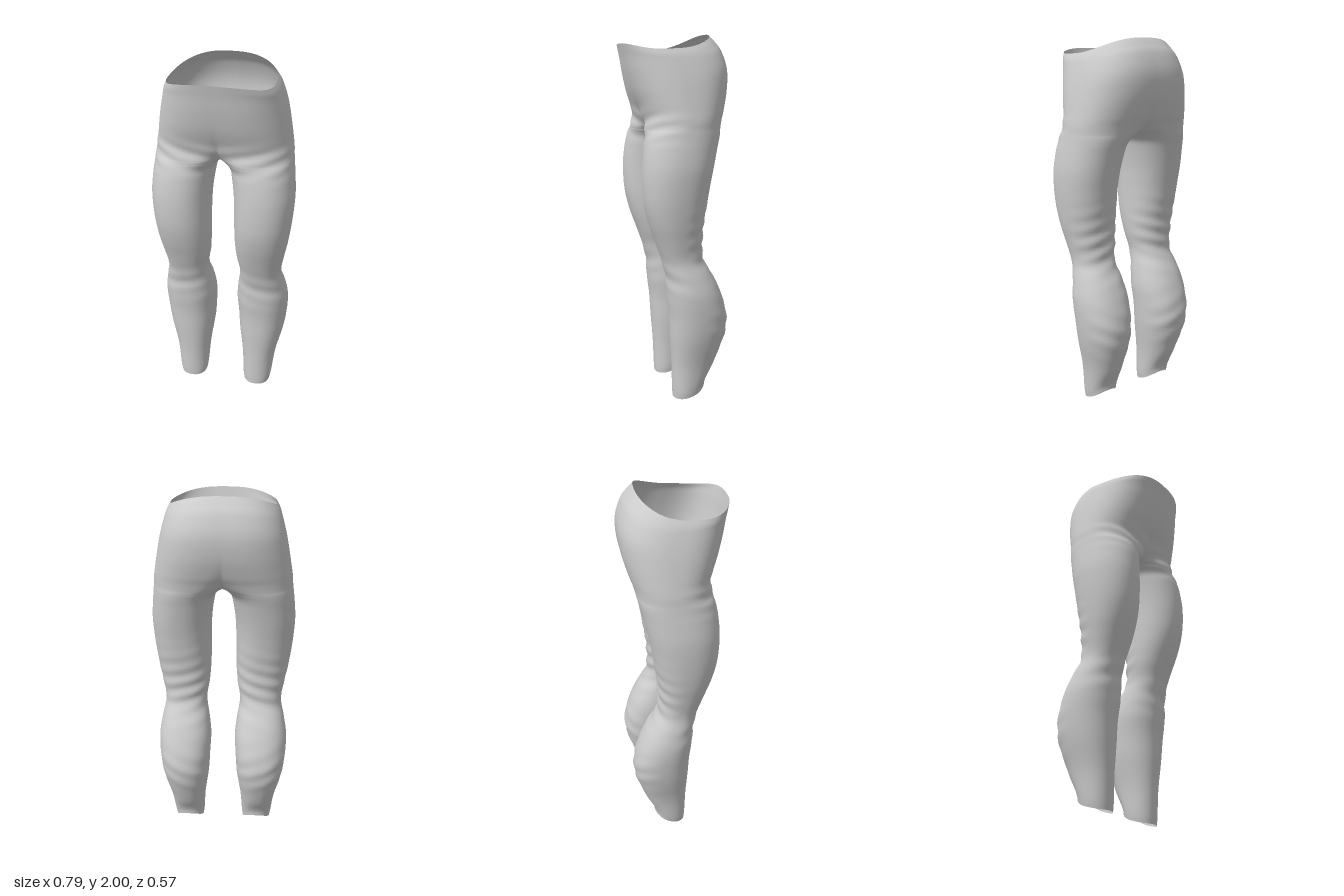
import * as THREE from 'three';
import { mergeVertices } from 'three/addons/utils/BufferGeometryUtils.js';

// Sections of one trouser leg and its half of the hips, from hem to waist:
// height, inner x, outer x, front z, back z (inner x < 0: the halves join at x = 0)
const SECTIONS = [
  [0, 0.12, 0.28, 0.042, -0.135],
  [0.05, 0.114, 0.288, 0.045, -0.143],
  [0.2, 0.105, 0.305, 0.05, -0.19],
  [0.36, 0.083, 0.343, 0.06, -0.245],
  [0.48, 0.075, 0.36, 0.066, -0.252],
  [0.6, 0.069, 0.365, 0.08, -0.22],
  [0.7, 0.08, 0.35, 0.086, -0.175],
  [0.8, 0.095, 0.33, 0.11, -0.118],
  [0.9, 0.08, 0.345, 0.145, -0.11],
  [1.0, 0.072, 0.365, 0.18, -0.115],
  [1.1, 0.07, 0.38, 0.205, -0.13],
  [1.2, 0.069, 0.39, 0.215, -0.145],
  [1.3, 0.064, 0.394, 0.215, -0.165],
  [1.4, 0.05, 0.386, 0.205, -0.187],
  [1.45, 0.036, 0.38, 0.194, -0.2],
  [1.485, 0, 0.376, 0.187, -0.21],
  [1.51, -0.045, 0.373, 0.18, -0.216],
  [1.55, -0.1, 0.37, 0.177, -0.228],
  [1.6, -0.16, 0.362, 0.187, -0.247],
  [1.7, -0.24, 0.345, 0.225, -0.275],
  [1.8, -0.285, 0.326, 0.252, -0.284],
  [1.88, -0.303, 0.308, 0.268, -0.255],
  [1.92, -0.296, 0.296, 0.277, -0.22],
  [1.95, -0.28, 0.28, 0.284, -0.19],
];
const STEPS = 6;
const COLUMNS = 96;

const power = (v, e) => Math.sign(v) * Math.abs(v) ** e;
const bump = (v, centre, width) => Math.exp(-(((v - centre) / width) ** 2));

function halfTrousers(side) {
  const spline = (a, b) => new THREE.CatmullRomCurve3(
    SECTIONS.map((s) => new THREE.Vector3(s[a], s[0], s[b])), false, 'catmullrom', 0.5);
  const widths = spline(1, 2);
  const depths = spline(3, 4);
  const rows = (SECTIONS.length - 1) * STEPS;
  const positions = [];
  const index = [];

  for (let i = 0; i <= rows; i++) {
    const w = widths.getPoint(i / rows);
    const d = depths.getPoint(i / rows);
    const level = w.y;
    const cx = Math.max(0, (w.x + w.z) / 2);
    const rx = w.z - cx;
    const cz = (d.x + d.z) / 2;
    const rz = (d.x - d.z) / 2;
    const n = 2.2 + 0.4 * THREE.MathUtils.smoothstep(level, 1.4, 1.9);
    // above the crotch the ring opens and ends on the centre seam
    const joined = cx < rx - 1e-5;
    const end = joined ? Math.acos(-((cx / rx) ** (n / 2))) : Math.PI;
    const top = THREE.MathUtils.smoothstep(level, 1.7, 1.95);
    const hem = 1 - THREE.MathUtils.smoothstep(level, 0, 0.22);

    for (let j = 0; j <= COLUMNS; j++) {
      const t = (j / COLUMNS) * 2 - 1;
      const c = Math.cos(t * end);
      const s = Math.sin(t * end);
      // soft cloth folds behind the knee, on the shin and below the hip
      const back = Math.max(0, -s);
      const front = Math.max(0, s);
      const fold = 0.005 * back * bump(level, 0.9, 0.16) * Math.sin(level * 75 + c * 3)
        + 0.004 * back * bump(level, 0.42, 0.13) * Math.sin(level * 60 - c * 4)
        + 0.003 * front * bump(level, 0.7, 0.1) * Math.sin(level * 60 + c * 2)
        + 0.004 * front * bump(level, 1.53, 0.07) * Math.sin(level * 80 - c * 5);
      let x = cx + (rx + fold) * power(c, 2 / n);
      if (joined && Math.abs(t) === 1) x = 0;
      const z = cz + (rz + fold) * power(s, 2 / n);
      // wavy waistband, and a hem that rises towards the heel
      const y = level + top * (-0.03 + 0.055 * s * s - 0.025 * s)
        + hem * 0.07 * ((1 - s) / 2) ** 2;
      positions.push(side * Math.max(0, x), y, z);

      if (i < rows && j < COLUMNS) {
        const a = i * (COLUMNS + 1) + j;
        const b = a + 1;
        const e = a + COLUMNS + 1;
        const f = e + 1;
        if (side > 0) index.push(a, e, b, b, e, f);
        else index.push(a, b, e, b, f, e);
      }
    }
  }
  return { positions, index };
}

export function createModel() {
  // both halves are welded along the centre seam
  const left = halfTrousers(1);
  const right = halfTrousers(-1);
  const offset = left.positions.length / 3;
  let geometry = new THREE.BufferGeometry();
  geometry.setAttribute('position',
    new THREE.Float32BufferAttribute(left.positions.concat(right.positions), 3));
  geometry.setIndex(left.index.concat(right.index.map((k) => k + offset)));
  geometry = mergeVertices(geometry, 1e-4);
  geometry.computeVertexNormals();

  const trousers = new THREE.Mesh(geometry,
    new THREE.MeshStandardMaterial({ color: 0xcccccc, side: THREE.DoubleSide }));
  trousers.name = 'trousers';
  const group = new THREE.Group();
  group.name = 'trousersModel';
  group.add(trousers);
  return group;
}
